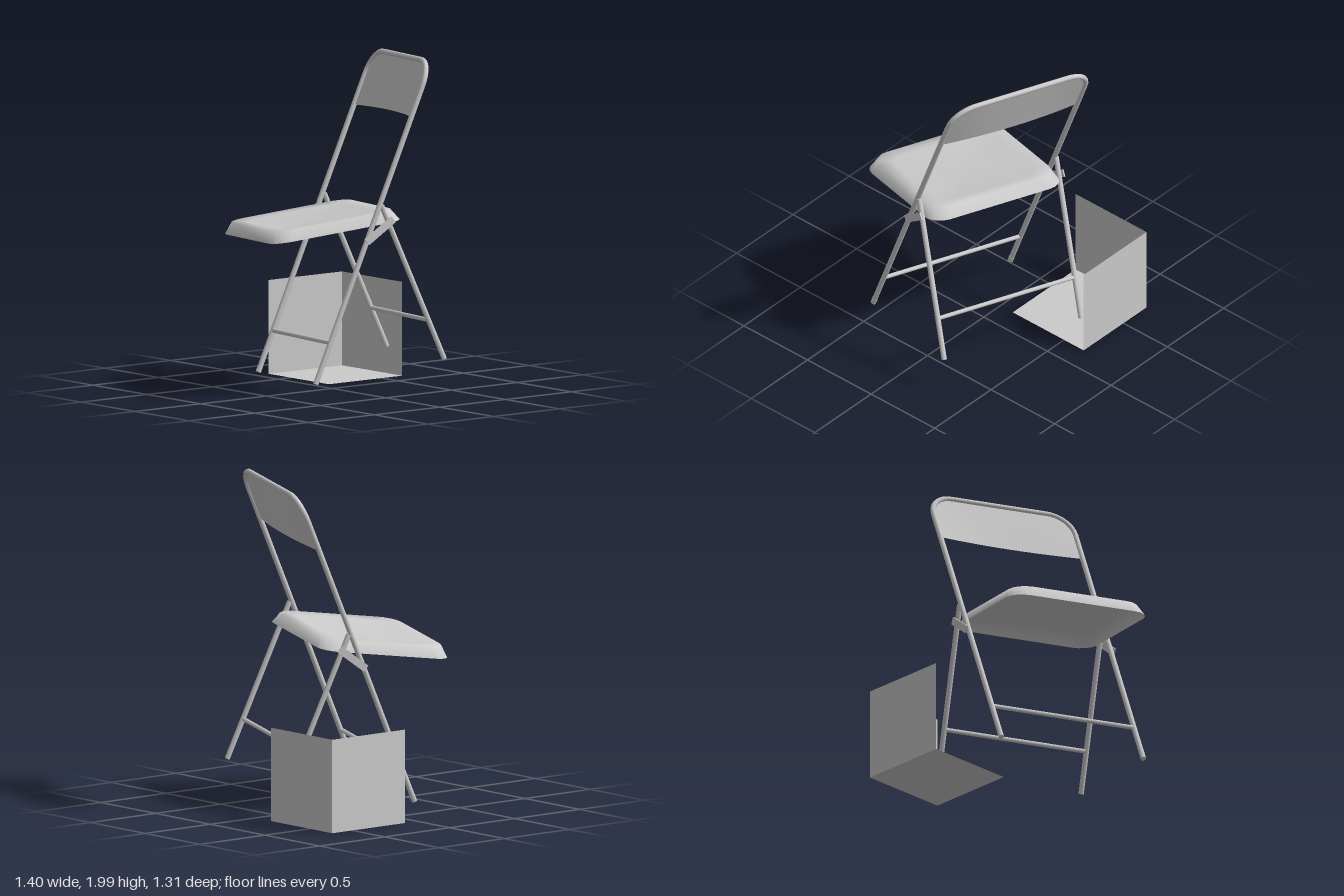
import * as THREE from 'three';

const V = (x, y, z) => new THREE.Vector3(x, y, z);
const grey = new THREE.MeshStandardMaterial({ color: 0xcccccc });
const thin = new THREE.MeshStandardMaterial({ color: 0xcccccc, side: THREE.DoubleSide });

const HALF = 0.467;   // half distance between the legs
const LEAN = -0.571;  // backward run of the main frame per unit of height
const TOP = 1.75;     // height of the top of the frame
const R = 0.016;      // tube radius
const onFrame = (x, y) => V(x, y, y * LEAN);
const onRear = (x, y) => V(x, y, -0.82 + y * 0.2635);

function mesh(name, geometry, material = grey) {
  const m = new THREE.Mesh(geometry, material);
  m.name = name;
  return m;
}

// Straight round bar between two points
function bar(name, a, b, r = R) {
  const m = mesh(name, new THREE.CylinderGeometry(r, r, a.distanceTo(b), 10));
  m.position.copy(a).add(b).multiplyScalar(0.5);
  m.quaternion.setFromUnitVectors(V(0, 1, 0), b.clone().sub(a).normalize());
  return m;
}

// Grid surface through rows of points
function loft(rows, closed) {
  const n = rows[0].length, index = [];
  for (let i = 0; i < rows.length - 1; i++)
    for (let j = 0; j < (closed ? n : n - 1); j++) {
      const a = i * n + j, b = i * n + (j + 1) % n;
      index.push(a, b, a + n, b, b + n, a + n);
    }
  const g = new THREE.BufferGeometry().setFromPoints(rows.flat());
  g.setIndex(index);
  g.computeVertexNormals();
  return g;
}

// Bent tube forming both front legs and the back hoop
function frameTube() {
  const c = 0.15, cy = 0.13, k = 0.552;
  const path = new THREE.CurvePath();
  path.add(new THREE.LineCurve3(onFrame(-HALF, 0), onFrame(-HALF, TOP - cy)));
  path.add(new THREE.CubicBezierCurve3(onFrame(-HALF, TOP - cy), onFrame(-HALF, TOP - cy * (1 - k)),
    onFrame(-HALF + c * (1 - k), TOP), onFrame(-HALF + c, TOP)));
  path.add(new THREE.LineCurve3(onFrame(-HALF + c, TOP), onFrame(HALF - c, TOP)));
  path.add(new THREE.CubicBezierCurve3(onFrame(HALF - c, TOP), onFrame(HALF - c * (1 - k), TOP),
    onFrame(HALF, TOP - cy * (1 - k)), onFrame(HALF, TOP - cy)));
  path.add(new THREE.LineCurve3(onFrame(HALF, TOP - cy), onFrame(HALF, 0)));
  return mesh('frontFrame', new THREE.TubeGeometry(path, 130, R, 10));
}

// Back panel: fills the hoop, bowed backwards towards its lower edge
function backPanel() {
  const rows = [], bottom = 1.45, c = 0.15, cy = 0.13;
  for (let i = 0; i <= 10; i++) {
    const t = i / 10, y = bottom + (TOP - bottom) * t;
    const k = Math.max(0, (y - (TOP - cy)) / cy);
    const half = HALF - c * (1 - Math.sqrt(Math.max(0, 1 - k * k)));
    const row = [];
    for (let j = 0; j <= 12; j++) {
      const s = j / 6 - 1, p = onFrame(s * half, y);
      p.z -= 0.035 * (1 - s * s) * (1 - t);
      row.push(p);
    }
    rows.push(row);
  }
  return mesh('backPanel', loft(rows, false), thin);
}

// Seat pan: rounded square with a sloping skirt and a shallow dish
function seatPan() {
  const ring = (inset, y, scale = 1) => {
    const pts = [], r = 0.11 * scale;
    const hx = (0.452 - inset) * scale, hz = (0.415 - inset) * scale;
    for (let q = 0; q < 4; q++)
      for (let s = 0; s <= 4; s++) {
        const a = (q + s / 4) * Math.PI / 2;
        const sx = q === 0 || q === 3 ? 1 : -1, sz = q < 2 ? 1 : -1;
        pts.push(V(sx * (hx - r) + r * Math.cos(a), y, -0.29 + sz * (hz - r) + r * Math.sin(a)));
      }
    return pts.reverse();
  };
  const rows = [ring(0, 0.853), ring(0.036, 0.92)];
  for (const s of [0.8, 0.55, 0.3, 0.001]) rows.push(ring(0.036, 0.9 + 0.02 * s * s, s));
  return mesh('seat', loft(rows, true), thin);
}

// Flat link joining a front leg to a rear leg
function hingeLink(side) {
  const a = V(side * 0.487, 0.779, -0.447), b = V(side * 0.487, 0.868, -0.605);
  const m = mesh(side > 0 ? 'leftHingeLink' : 'rightHingeLink',
    new THREE.BoxGeometry(0.008, 0.045, a.distanceTo(b) + 0.03));
  m.position.copy(a).add(b).multiplyScalar(0.5);
  m.rotation.x = Math.atan2(b.y - a.y, a.z - b.z);
  return m;
}

// Three square sheets meeting in one corner
function cornerSheets() {
  const g = new THREE.Group(), s = 0.558;
  g.name = 'cornerSheets';
  const sheet = (name, x, y, z, rx, ry) => {
    const m = mesh(name, new THREE.PlaneGeometry(s, s), thin);
    m.position.set(x, y, z);
    m.rotation.set(rx, ry, 0);
    g.add(m);
  };
  sheet('floorSheet', s / 2, 0, s / 2, -Math.PI / 2, 0);
  sheet('backSheet', s / 2, s / 2, 0, 0, 0);
  sheet('sideSheet', 0, s / 2, s / 2, 0, Math.PI / 2);
  g.position.set(-0.705, 0, -0.655);
  return g;
}

export function createModel() {
  const chair = new THREE.Group();
  chair.name = 'foldingChair';
  chair.add(frameTube(), backPanel(), seatPan());
  chair.add(bar('frontCrossbar', onFrame(-HALF, 0.222), onFrame(HALF, 0.222), 0.013));
  chair.add(bar('rearCrossbar', onRear(-HALF, 0.245), onRear(HALF, 0.245), 0.013));
  for (const side of [1, -1]) {
    const label = side > 0 ? 'left' : 'right';
    chair.add(bar(label + 'RearLeg', onRear(side * HALF, 0), onRear(side * HALF, 0.965)));
    chair.add(bar(label + 'FrontFoot', onFrame(side * HALF, -0.004), onFrame(side * HALF, 0.03), R + 0.001));
    chair.add(hingeLink(side));
  }

  // The chair is turned and slightly tilted as a whole
  const x = V(0.949, 0.054, 0.311).normalize();
  const y = V(-0.304, -0.128, 0.943).cross(x).normalize();
  const z = x.clone().cross(y);
  chair.quaternion.setFromRotationMatrix(new THREE.Matrix4().makeBasis(x, y, z));
  chair.position.set(-0.0075, 0.095, 0.335);

  const model = new THREE.Group();
  model.name = 'chairWithCornerSheets';
  model.add(chair, cornerSheets());
  return model;
}
